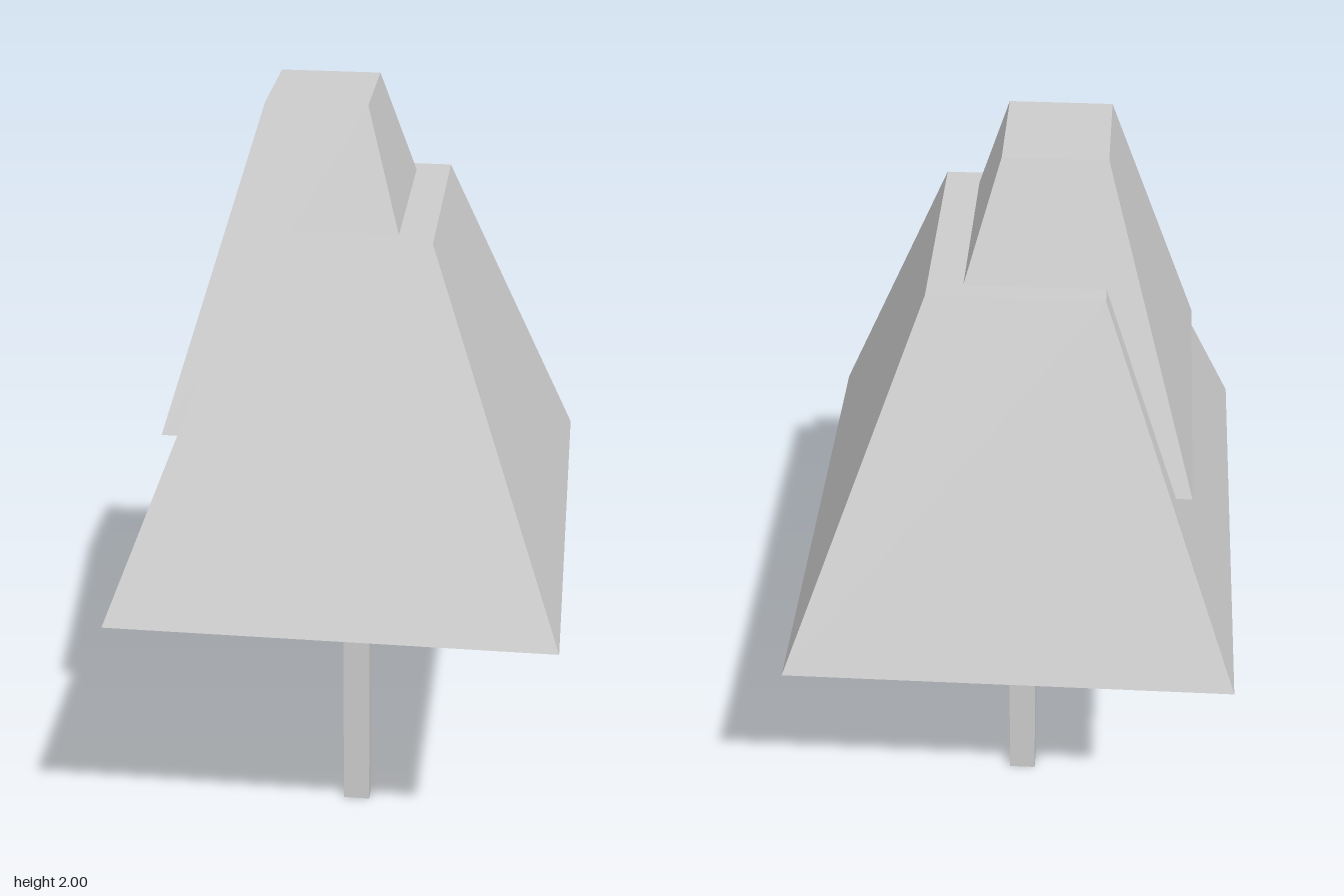
import * as THREE from 'three';

// Box whose lower and upper rectangles differ: rect = [xMin, xMax, zHalf]
function taperedBox(name, material, y0, y1, lower, upper) {
  const geometry = new THREE.BoxGeometry(1, 1, 1).toNonIndexed();
  const pos = geometry.attributes.position;
  for (let i = 0; i < pos.count; i++) {
    const top = pos.getY(i) > 0;
    const [xMin, xMax, zHalf] = top ? upper : lower;
    pos.setXYZ(i, pos.getX(i) > 0 ? xMax : xMin, top ? y1 : y0, Math.sign(pos.getZ(i)) * zHalf);
  }
  geometry.computeVertexNormals();
  const mesh = new THREE.Mesh(geometry, material);
  mesh.name = name;
  return mesh;
}

export function createModel() {
  const model = new THREE.Group();
  model.name = 'tree';
  const paleGrey = new THREE.MeshStandardMaterial({ color: 0xcccccc, flatShading: true });
  paleGrey.name = 'pale grey';

  // Square trunk
  model.add(taperedBox('trunk', paleGrey, 0, 0.868, [-0.035, 0.035, 0.035], [-0.035, 0.035, 0.035]));
  // Wide lower foliage
  model.add(taperedBox('lowerFoliage', paleGrey, 0.868, 1.727, [-0.535, 0.535, 0.625], [-0.203, 0.203, 0.283]));
  // Upper foliage, offset to one side and sunk into the lower tier
  model.add(taperedBox('upperFoliage', paleGrey, 1.27, 2, [-0.418, 0.258, 0.404], [-0.199, 0.039, 0.134]));
  return model;
}
